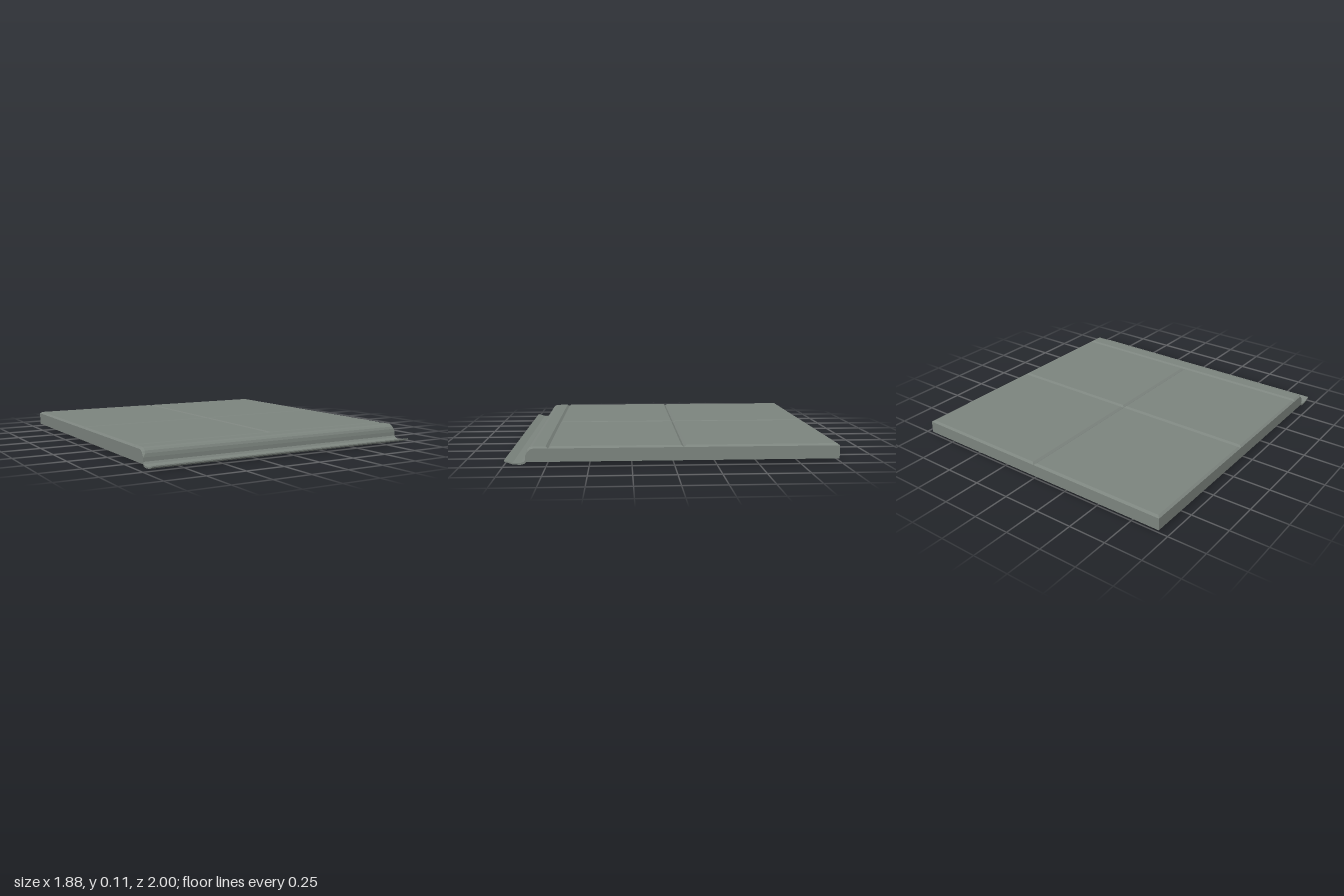
import * as THREE from 'three';

const W = 0.94;      // half width
const IN = 0.015;    // bevel width
const TOP = 0.107;   // panel surface
const SEAM = 0.096;  // bottom of the grooves
const RIM = 0.016;   // open lower rim of the walls

const body = new THREE.MeshStandardMaterial({ color: 0x7c847e, side: THREE.DoubleSide });
body.name = 'grey green';

// Flat-shaded mesh from a list of four-cornered faces
function quadMesh(name, quads) {
  const pos = [];
  for (const [a, b, c, d] of quads) pos.push(...a, ...b, ...c, ...a, ...c, ...d);
  const g = new THREE.BufferGeometry();
  g.setAttribute('position', new THREE.Float32BufferAttribute(pos, 3));
  g.computeVertexNormals();
  const m = new THREE.Mesh(g, body);
  m.name = name;
  return m;
}

// Raised panel with bevelled edges, open underneath
function panel(name, x0, x1, z0, z1) {
  const ring = (y, i) => [
    [x0 + i, y, z0 + i], [x0 + i, y, z1 - i], [x1 - i, y, z1 - i], [x1 - i, y, z0 + i],
  ];
  const lo = ring(SEAM, 0), hi = ring(TOP, IN);
  const quads = [hi];
  for (let i = 0; i < 4; i++) {
    const j = (i + 1) % 4;
    quads.push([lo[i], lo[j], hi[j], hi[i]]);
  }
  return quadMesh(name, quads);
}

export function createModel() {
  const root = new THREE.Group();
  root.name = 'panelledCover';

  // Four top panels
  const zs = [-1, -0.06, 0.742];
  for (let r = 0; r < 2; r++) {
    root.add(panel('rightPanel', -W, 0, zs[r], zs[r + 1]));
    root.add(panel('leftPanel', 0, W, zs[r], zs[r + 1]));
  }

  // Rounded front edge: crown profile and side-bevel profile as [z, y]
  const crown = [[0.742, SEAM], [0.757, TOP], [0.835, TOP], [0.853, 0.102],
    [0.866, 0.091], [0.873, 0.076], [0.876, 0.055], [0.876, 0.03]];
  const edge = [[0.742, SEAM], [0.757, SEAM], [0.83, SEAM], [0.846, 0.092],
    [0.858, 0.083], [0.867, 0.071], [0.876, 0.055], [0.876, 0.03]];
  const front = [], ends = [];
  for (let i = 0; i < crown.length - 1; i++) {
    const [cz, cy] = crown[i], [dz, dy] = crown[i + 1];
    const [ez, ey] = edge[i], [fz, fy] = edge[i + 1];
    const w0 = i < 1 ? W : W - IN * (i < 6 ? 1 : 0);
    const w1 = i + 1 < 6 ? W - IN : W;
    front.push([[-w0, cy, cz], [-w1, dy, dz], [w1, dy, dz], [w0, cy, cz]]);
    // bevel at each end, then the side wall below it
    front.push([[w0, cy, cz], [w1, dy, dz], [W, fy, fz], [W, ey, ez]]);
    front.push([[-W, ey, ez], [-W, fy, fz], [-w1, dy, dz], [-w0, cy, cz]]);
    ends.push([[W, ey, ez], [W, fy, fz], [W, RIM, fz], [W, RIM, ez]]);
    ends.push([[-W, RIM, ez], [-W, RIM, fz], [-W, fy, fz], [-W, ey, ez]]);
  }
  root.add(quadMesh('frontEdge', front), quadMesh('frontEdgeEnds', ends));

  // Skirt walls, open at the bottom
  root.add(quadMesh('sideWalls', [
    [[W, RIM, 0.742], [W, RIM, -1], [W, SEAM, -1], [W, SEAM, 0.742]],
    [[-W, RIM, -1], [-W, RIM, 0.742], [-W, SEAM, 0.742], [-W, SEAM, -1]],
  ]));
  root.add(quadMesh('backWall', [
    [[W, RIM, -1], [-W, RIM, -1], [-W, SEAM, -1], [W, SEAM, -1]],
  ]));

  // Thin curled lip along the front
  const lip = new THREE.Shape([
    [0.876, 0.03], [0.884, 0.018], [0.905, 0.011], [0.95, 0.012], [1, 0.028],
    [1, 0.021], [0.95, 0.003], [0.905, 0], [0.882, 0.006], [0.87, 0.018], [0.87, 0.03],
  ].map(([z, y]) => new THREE.Vector2(-z, y)));
  const lipGeo = new THREE.ExtrudeGeometry(lip, { depth: 2 * W, bevelEnabled: false });
  lipGeo.rotateY(Math.PI / 2).translate(-W, 0, 0);
  const lipMesh = new THREE.Mesh(lipGeo, body);
  lipMesh.name = 'frontLip';
  root.add(lipMesh);

  return root;
}
